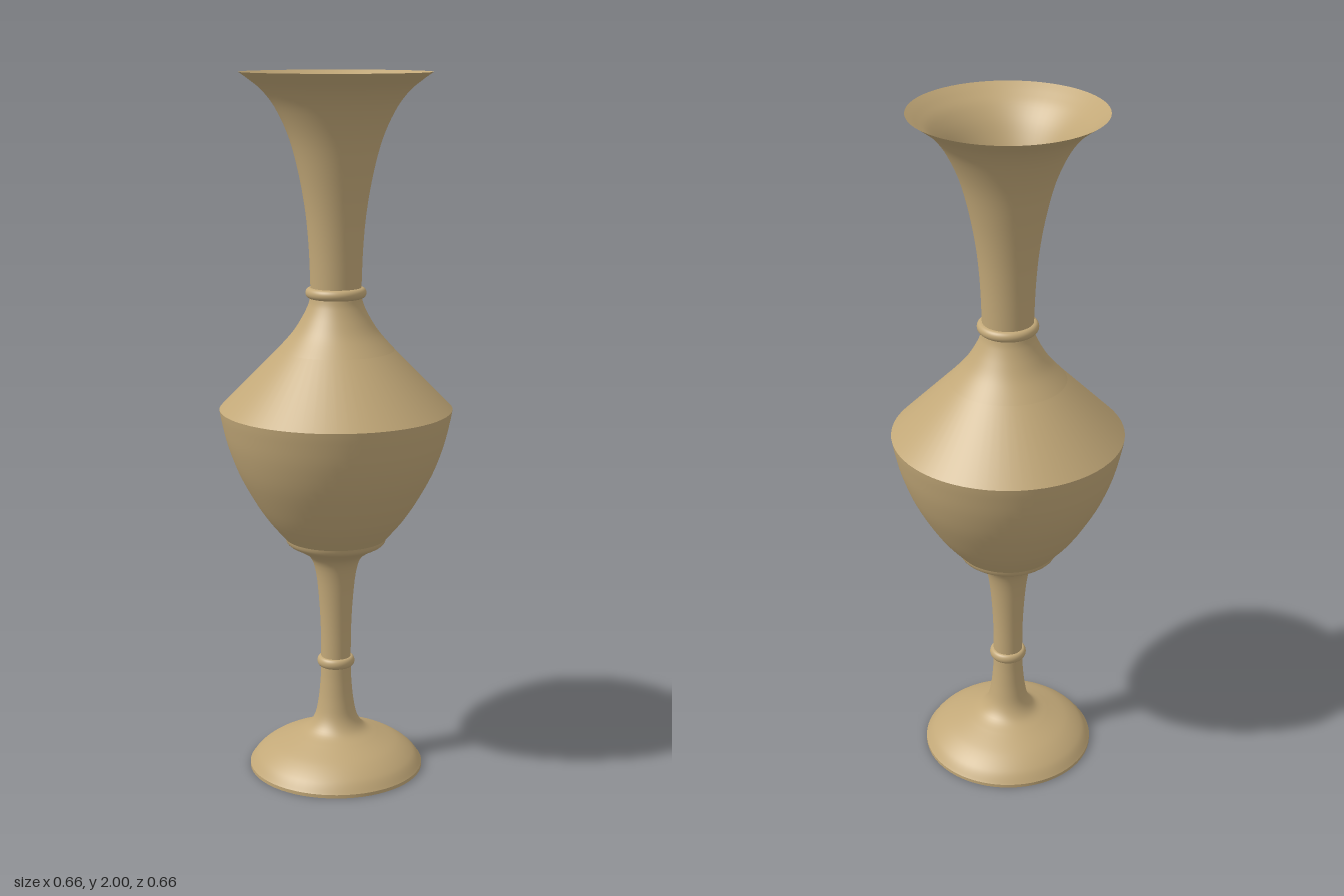
import * as THREE from 'three';

export function createModel() {
  const vase = new THREE.Group();
  vase.name = 'vase';
  // open, single-walled shell
  const brass = new THREE.MeshStandardMaterial({ color: 0xc2a878, side: THREE.DoubleSide });
  brass.name = 'antique brass';

  // One smooth turned section through [radius, height] points
  function turned(name, points, steps = 24) {
    const pts = points.map(([r, y]) => new THREE.Vector2(r, y));
    const profile = pts.length > 2 ? new THREE.SplineCurve(pts).getPoints(steps) : pts;
    const mesh = new THREE.Mesh(new THREE.LatheGeometry(profile, 64), brass);
    mesh.name = name;
    vase.add(mesh);
  }

  // Half-round bead swelling outward from the stem wall
  function bead(name, wall, y, bulge, half) {
    const points = [];
    for (let i = 0; i <= 8; i++) {
      const a = -Math.PI / 2 + (Math.PI * i) / 8;
      points.push([wall + bulge * Math.cos(a), y + half * Math.sin(a)]);
    }
    turned(name, points, 16);
  }

  // Foot
  turned('footBottom', [[0, 0], [0.252, 0]]);
  turned('footEdge', [[0.252, 0], [0.252, 0.01]]);
  turned('footDome', [[0.252, 0.01], [0.228, 0.04], [0.185, 0.07], [0.123, 0.098]]);

  // Stem with its bead
  turned('lowerStem', [[0.123, 0.098], [0.085, 0.117], [0.062, 0.15], [0.051, 0.2], [0.045, 0.26], [0.043, 0.305]]);
  bead('stemBead', 0.043, 0.32, 0.011, 0.015);
  turned('upperStem', [[0.043, 0.335], [0.044, 0.42], [0.049, 0.51], [0.058, 0.59], [0.073, 0.635], [0.105, 0.66], [0.137, 0.678], [0.145, 0.695]]);

  // Body
  turned('bowl', [[0.145, 0.695], [0.192, 0.75], [0.232, 0.81], [0.275, 0.89], [0.305, 0.97], [0.322, 1.04], [0.328, 1.073]]);
  turned('shoulder', [[0.328, 1.073], [0.164, 1.24]]);
  turned('shoulderCurve', [[0.164, 1.24], [0.122, 1.288], [0.095, 1.33], [0.078, 1.365], [0.072, 1.387]]);

  // Flared neck with its bead
  bead('neckBead', 0.071, 1.4, 0.014, 0.015);
  turned('neck', [[0.071, 1.414], [0.075, 1.52], [0.084, 1.62], [0.101, 1.72], [0.127, 1.82], [0.163, 1.9], [0.2, 1.95], [0.236, 1.98], [0.264, 2]], 36);

  return vase;
}
